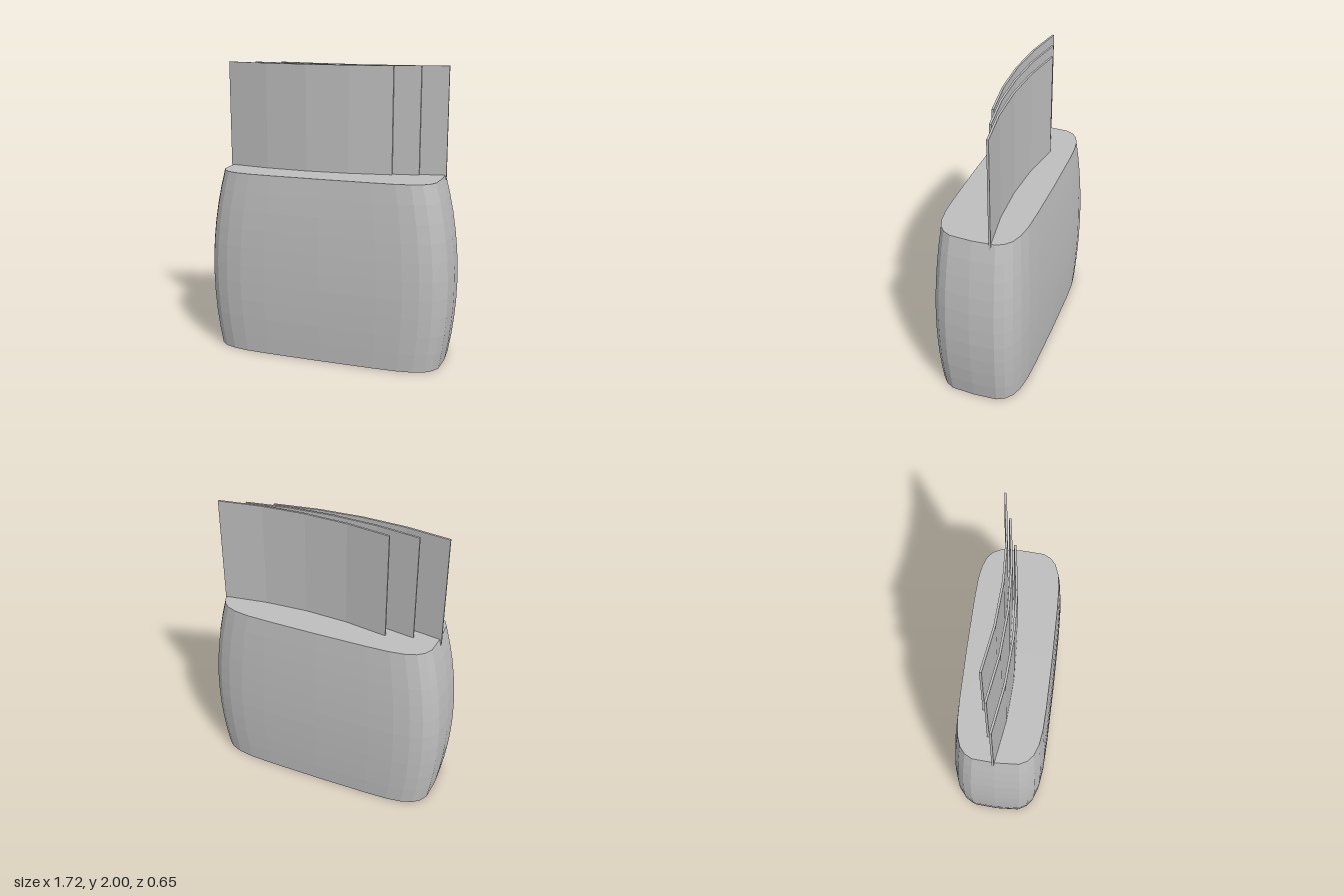
import * as THREE from 'three';

const grey = new THREE.MeshStandardMaterial({ color: 0xbebebe, flatShading: true });
grey.name = 'plain grey';

const HEIGHT = 1.275, ROWS = 10, DEPTH_RATIO = 0.378;

// Rounded-rectangle outline, unit size: one quarter mirrored to all four
function outline() {
  const q = [[1, 0], [0.988, 0.52], [0.953, 0.7], [0.895, 0.83], [0.8, 0.92], [0.67, 0.97], [0.465, 0.99], [0, 1]];
  const there = q.slice(0, -1), back = q.slice(1).reverse();
  return [
    ...there.map(([x, z]) => [x, z]),
    ...back.map(([x, z]) => [-x, z]),
    ...there.map(([x, z]) => [-x, -z]),
    ...back.map(([x, z]) => [x, -z]),
  ];
}

// Half width of the bulging body at height y
const halfWidth = (y) => 0.81 + 0.19 * y - 0.181 * y * y;

// Closed block lofted from scaled outlines
function bodyGeometry() {
  const ring = outline(), n = ring.length;
  const pos = [], index = [];
  for (let j = 0; j <= ROWS; j++) {
    const y = (HEIGHT * j) / ROWS, w = halfWidth(y);
    for (const [x, z] of ring) pos.push(x * w, y, z * w * DEPTH_RATIO);
  }
  const bottom = pos.length / 3, top = bottom + 1;
  pos.push(0, 0, 0, 0, HEIGHT, 0);
  for (let i = 0; i < n; i++) {
    const k = (i + 1) % n;
    for (let j = 0; j < ROWS; j++) {
      const a = j * n + i, b = j * n + k, c = b + n, d = a + n;
      index.push(a, d, b, b, d, c);
    }
    index.push(bottom, i, k, top, ROWS * n + k, ROWS * n + i);
  }
  const indexed = new THREE.BufferGeometry();
  indexed.setAttribute('position', new THREE.Float32BufferAttribute(pos, 3));
  indexed.setIndex(index);
  const geo = indexed.toNonIndexed();
  geo.computeVertexNormals();
  return geo;
}

// Thin upright sheet, bowed forward in the middle
function sheetGeometry(width, height) {
  const geo = new THREE.BoxGeometry(width, height, 0.014, 4, 1, 1);
  const p = geo.attributes.position;
  for (let i = 0; i < p.count; i++) {
    const t = p.getX(i) / (width / 2);
    p.setZ(i, p.getZ(i) + 0.06 * (1 - t * t));
  }
  geo.computeVertexNormals();
  return geo;
}

export function createModel() {
  const model = new THREE.Group();
  model.name = 'blockWithSheets';

  const body = new THREE.Mesh(bodyGeometry(), grey);
  body.name = 'body';
  model.add(body);

  // Three staggered sheets, sunk a little into the body
  const foot = 1.22, sheet = sheetGeometry(1.18, 2 - foot);
  for (let i = 0; i < 3; i++) {
    const mesh = new THREE.Mesh(sheet, grey);
    mesh.name = ['frontSheet', 'middleSheet', 'backSheet'][i];
    mesh.position.set(-0.18 + 0.175 * i, (2 + foot) / 2, -0.015 - 0.051 * i);
    model.add(mesh);
  }
  return model;
}
